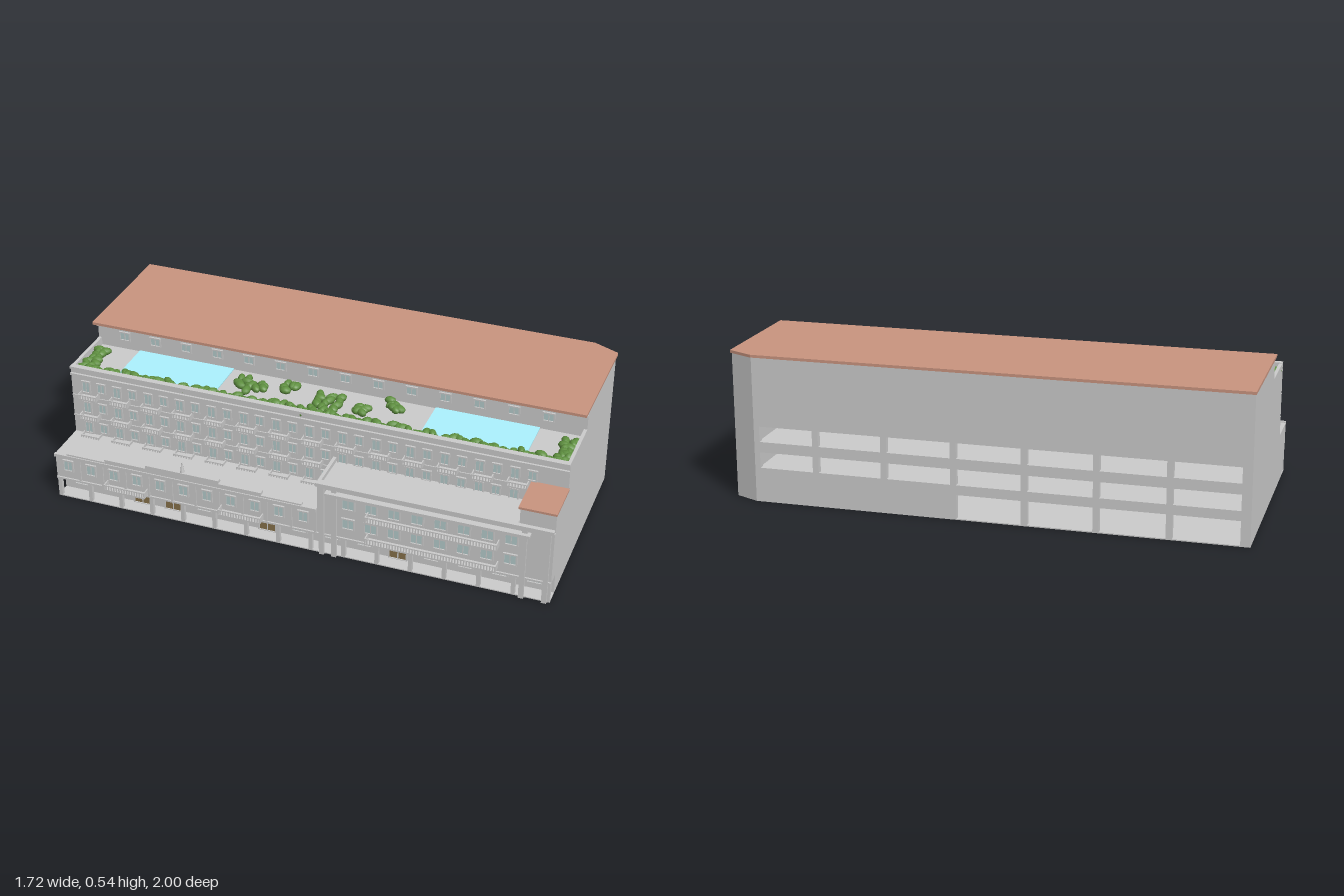
import * as THREE from 'three';
import { mergeGeometries } from 'three/addons/utils/BufferGeometryUtils.js';

const mat = (color) => new THREE.MeshStandardMaterial({ color });

export function createModel() {
  const root = new THREE.Group();
  root.name = 'building';
  // Local frame: x runs along the street facade, z points out of the facade
  const g = new THREE.Group();
  g.name = 'buildingAxes';
  g.rotation.y = -0.963;
  root.add(g);

  const grey = mat(0xcccccc), red = mat(0xc9947f), water = mat(0xacf2ff);
  const green = mat(0x5f9040), glass = mat(0xb5cccc), wood = mat(0x85704a);

  const boxGeo = (x0, x1, y0, y1, z0, z1) =>
    new THREE.BoxGeometry(x1 - x0, y1 - y0, z1 - z0)
      .translate((x0 + x1) / 2, (y0 + y1) / 2, (z0 + z1) / 2);
  const add = (name, geo, m = grey) => {
    const mesh = new THREE.Mesh(geo, m);
    mesh.name = name;
    g.add(mesh);
    return mesh;
  };
  const box = (name, x0, x1, y0, y1, z0, z1, m = grey) => add(name, boxGeo(x0, x1, y0, y1, z0, z1), m);
  // Vertical prism over a footprint of [x, z] corners
  const prism = (name, pts, y0, y1, m = grey) => {
    const shape = new THREE.Shape(pts.map(([x, z]) => new THREE.Vector2(x, -z)));
    const geo = new THREE.ExtrudeGeometry(shape, { depth: y1 - y0, bevelEnabled: false });
    return add(name, geo.rotateX(-Math.PI / 2).translate(0, y0, 0), m);
  };

  const L = -0.91, R = 0.928, BACK = -0.438;

  // Collected window and door parts, merged at the end
  const frames = [], panes = [], doors = [];
  const opening = (x, y, z, w, h, list = panes) => {
    const t = 0.005, a = w / 2;
    list.push(boxGeo(x - a, x + a, y, y + h, z - 0.004, z + 0.002));
    frames.push(
      boxGeo(x - a - t, x - a, y - t, y + h + t, z - 0.004, z + 0.007),
      boxGeo(x + a, x + a + t, y - t, y + h + t, z - 0.004, z + 0.007),
      boxGeo(x - a, x + a, y + h, y + h + t, z - 0.004, z + 0.007),
      boxGeo(x - a, x + a, y - t, y, z - 0.004, z + 0.007),
      boxGeo(x - 0.0015, x + 0.0015, y, y + h, z - 0.004, z + 0.005));
  };
  // Balcony with slab, top rail and bars
  const balconies = [];
  const balcony = (x0, x1, y, z0, z1, h = 0.022) => {
    balconies.push(boxGeo(x0, x1, y, y + 0.006, z0, z1),
      boxGeo(x0, x1, y + h - 0.004, y + h, z1 - 0.004, z1),
      boxGeo(x0, x0 + 0.004, y, y + h, z0, z1),
      boxGeo(x1 - 0.004, x1, y, y + h, z0, z1));
    const n = Math.round((x1 - x0) / 0.01);
    for (let i = 1; i < n; i++) {
      const x = x0 + (x1 - x0) * i / n;
      balconies.push(boxGeo(x - 0.002, x + 0.002, y, y + h, z1 - 0.004, z1));
    }
  };

  // Tall rear block with a cut corner, and its tiled roof
  const corner = [[R, -0.398], [0.84, BACK]];
  prism('rearBlock', [[L, 0.01], [R, 0.01], ...corner, [L, BACK]], 0.28, 0.525);
  box('rearCore', L, R, 0, 0.28, -0.15, 0.01);
  prism('rearCorner', [[0.826, -0.15], [R, -0.15], ...corner, [0.826, BACK]], 0, 0.28);
  prism('tiledRoof', [[-0.912, 0.049], [0.93, 0.049], [0.934, -0.399], [0.841, -0.442], [-0.912, -0.442]], 0.525, 0.535, red);
  box('upperCornice', L, R, 0.506, 0.514, 0.01, 0.022);

  // Rear wall with parking openings
  const wall = new THREE.Shape([[L, 0], [0.826, 0], [0.826, 0.28], [L, 0.28]].map((p) => new THREE.Vector2(...p)));
  for (const [y0, y1, n] of [[0.004, 0.09, 4], [0.125, 0.182, 7], [0.22, 0.276, 7]]) {
    for (let i = 0; i < n; i++) {
      const a = -0.876 + 0.25 * i, b = Math.min(a + 0.228, 0.82);
      wall.holes.push(new THREE.Path([[a, y0], [a, y1], [b, y1], [b, y0]].map((p) => new THREE.Vector2(...p))));
    }
  }
  add('rearWall', new THREE.ExtrudeGeometry(wall, { depth: 0.02, bevelEnabled: false }).translate(0, 0, BACK));
  for (const [y0, y1] of [[0, 0.004], [0.09, 0.125], [0.182, 0.22]])
    box('parkingSlab', L, 0.826, y0, y1, BACK + 0.02, -0.15);
  box('parkingEndWall', L, L + 0.02, 0, 0.28, BACK + 0.02, -0.15);

  // Middle block with terrace parapet
  box('middleBlock', L, R, 0, 0.425, 0.01, 0.238);
  box('terraceParapet', L, R, 0.425, 0.455, 0.226, 0.238);
  for (const x of [L, R - 0.012]) box('terraceSideParapet', x, x + 0.012, 0.425, 0.455, 0.01, 0.226);
  box('middleCornice', L, R, 0.449, 0.457, 0.224, 0.246);
  box('middleLedge', L, R, 0.422, 0.43, 0.238, 0.246);
  for (const y of [0.335, 0.25]) box('floorBand', L, R, y, y + 0.005, 0.238, 0.242);

  // Terrace pools
  for (const s of [-1, 1]) {
    const x = 0.01 + s * 0.568;
    box('pool', x - 0.187, x + 0.187, 0.425, 0.429, 0.01, 0.19, water);
  }

  // Hedge and shrubs
  let seed = 7;
  const rnd = () => (seed = (seed * 16807) % 2147483647) / 2147483647;
  const bushes = [];
  const bush = (x, z) => {
    const geo = new THREE.SphereGeometry(1, 9, 6);
    geo.scale(0.02 + rnd() * 0.006, 0.014, 0.013 + rnd() * 0.004).rotateY(rnd() * 3.14);
    bushes.push(geo.translate(x + (rnd() - 0.5) * 0.016, 0.434 + rnd() * 0.005, z + (rnd() - 0.5) * 0.016));
  };
  for (let x = -0.88; x < 0.9; x += 0.022) bush(x, rnd() > 0.5 ? 0.208 : 0.192);
  for (let z = 0.065; z < 0.2; z += 0.022) {
    bush(-0.882, z); bush(-0.855, z + 0.01);
    bush(0.9, z); bush(0.875, z + 0.01);
    for (let k = -1; k < 2; k++) if (z > 0.08) bush(0.03 + k * 0.035, z);
  }
  for (const [x, z] of [[-0.29, 0.1], [-0.13, 0.08], [0.15, 0.13], [0.25, 0.065], [-0.24, 0.12]])
    for (let k = 0; k < 6; k++) bush(x + (rnd() - 0.5) * 0.06, z + (rnd() - 0.5) * 0.05);
  add('shrubs', mergeGeometries(bushes), green);

  // Windows and balconies in the upper two blocks
  for (let i = 0; i < 14; i++) {
    const x = -0.837 + i * 0.1227;
    opening(x + 0.035, 0.464, 0.01, 0.034, 0.027);
    for (const y of [0.17, 0.255, 0.34]) {
      opening(x - 0.015, y + 0.02, 0.238, 0.026, 0.04);
      opening(x + 0.045, y + 0.027, 0.238, 0.026, 0.033);
      balcony(x - 0.036, x + 0.036, y, 0.238, 0.272);
    }
  }

  // Front wings over an arcade
  const F = 0.4, J = 0.095, A = 0.345;
  box('arcadeWall', L, R, 0, 0.082, 0.238, A);
  box('arcadeFloor', L, R, 0, 0.004, A, F);
  box('leftWing', L, J, 0.08, 0.182, 0.238, F);
  box('rightWing', J, R, 0.08, 0.28, 0.238, F);
  box('arcadeLedge', L, R, 0.078, 0.085, F, F + 0.006);
  for (let i = 0; i <= 15; i++) {
    const x = L + 0.008 + (R - L - 0.016) * i / 15;
    box('arcadeColumn', x - 0.007, x + 0.007, 0.004, 0.08, F - 0.014, F);
    if (i === 15) continue;
    const door = [2, 3, 6, 10].includes(i);
    opening(x + 0.061, door ? 0.006 : 0.032, A, door ? 0.06 : 0.05, door ? 0.06 : 0.03, door ? doors : panes);
  }

  // Left wing: cornice, stepped gable with finial, balconies and windows
  box('leftCornice', L, J, 0.174, 0.186, F, F + 0.012);
  for (const [w, y] of [[0.45, 0.192], [0.3, 0.202], [0.14, 0.214]])
    box('steppedGable', -0.41 - w, -0.41 + w, 0.18, y, F - 0.012, F + 0.008);
  add('finial', new THREE.CylinderGeometry(0.002, 0.008, 0.04, 8).translate(-0.41, 0.234, F - 0.002));
  for (const x of [-0.627, -0.185]) balcony(x - 0.08, x + 0.08, 0.087, F, F + 0.034, 0.025);
  for (let i = 0; i < 11; i++) {
    const x = -0.86 + i * 0.0905;
    opening(x, 0.12, F, 0.032, 0.038);
    box('leftPilaster', x + 0.041, x + 0.049, 0.085, 0.174, F, F + 0.005);
  }

  // Right wing: framed front with two balcony rows
  box('rightParapet', J, 0.8, 0.28, 0.296, F - 0.014, F);
  box('rightSideParapet', J, J + 0.012, 0.28, 0.296, 0.238, F - 0.014);
  box('rightCornice', J, R, 0.284, 0.298, F, F + 0.016);
  box('frameTop', 0.13, 0.85, 0.258, 0.268, F, F + 0.024);
  for (const x of [0.105, 0.15, 0.82, 0.9]) box('framePost', x, x + 0.018, 0, 0.284, F, F + 0.01);
  for (const y of [0.1, 0.188]) balcony(0.28, 0.744, y, F, F + 0.036, 0.026);
  for (let i = 0; i < 8; i++) {
    const x = 0.21 + i * 0.082;
    for (const y of [0.128, 0.208]) opening(x, y, F, 0.04, 0.036);
  }
  box('stairTower', 0.805, R, 0.28, 0.352, 0.238, F - 0.01);
  box('stairTowerRoof', 0.8, R + 0.003, 0.352, 0.36, 0.238, F, red);

  add('windowFrames', mergeGeometries(frames));
  add('windowPanes', mergeGeometries(panes), glass);
  add('doors', mergeGeometries(doors), wood);
  add('balconies', mergeGeometries(balconies));
  return root;
}
